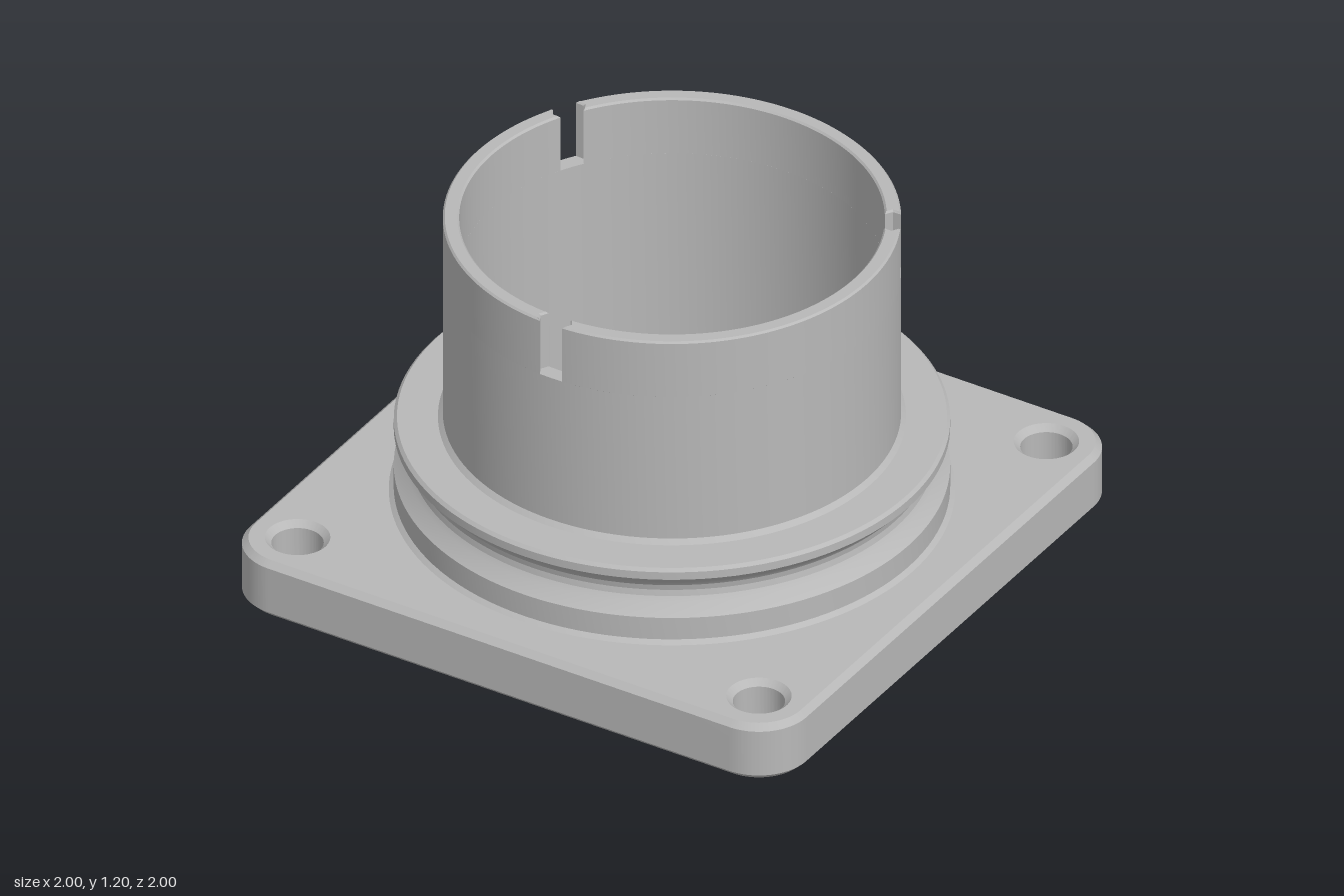
import * as THREE from 'three';
import { toCreasedNormals } from 'three/addons/utils/BufferGeometryUtils.js';

export function createModel() {
  const group = new THREE.Group();
  const metal = new THREE.MeshStandardMaterial({ color: 0xb8b8b8 });
  metal.name = 'greyMetal';

  const add = (name, geometry) => {
    const mesh = new THREE.Mesh(toCreasedNormals(geometry, 0.3), metal);
    mesh.name = name;
    group.add(mesh);
    return mesh;
  };

  // Extrudes a plan shape upwards from y0 to y1 with chamfers inside the outline
  const extrudeUp = (shape, y0, y1, chamfer, curveSegments) => {
    const geometry = new THREE.ExtrudeGeometry(shape, {
      depth: y1 - y0 - 2 * chamfer, curveSegments,
      bevelEnabled: true, bevelSegments: 1,
      bevelThickness: chamfer, bevelSize: chamfer, bevelOffset: -chamfer,
    });
    return geometry.rotateX(-Math.PI / 2).translate(0, y0 + chamfer, 0);
  };

  // Square flange with rounded corners, a central bore and four bolt holes
  const R = 0.17;
  const plate = new THREE.Shape();
  [[1, -1], [1, 1], [-1, 1], [-1, -1]].forEach(([sx, sy], i) => {
    const start = (i - 1) * Math.PI / 2;
    plate.absarc(sx * (1 - R), sy * (1 - R), R, start, start + Math.PI / 2, false);
  });
  plate.closePath();
  const hole = (x, y, r) => plate.holes.push(new THREE.Path().absarc(x, y, r, 0, Math.PI * 2, true));
  hole(0, 0, 0.68);
  for (const x of [-0.83, 0.83]) for (const y of [-0.83, 0.83]) hole(x, y, 0.08);
  add('flange', extrudeUp(plate, 0, 0.2, 0.02, 48));

  // Turned body: collar, V groove with rounded throat, rim and tube, then the stepped bore
  const profile = [
    [0.68, 0.17], [0.75, 0.17], [0.75, 0.2], [0.865, 0.2], [0.85, 0.212], [0.85, 0.29],
    [0.815, 0.323], [0.804, 0.34], [0.8, 0.36], [0.804, 0.38], [0.815, 0.397],
    [0.85, 0.43], [0.85, 0.457], [0.84, 0.467], [0.715, 0.467], [0.7, 0.482],
    [0.7, 1], [0.65, 1], [0.65, 0.24], [0.68, 0.2], [0.68, 0.17],
  ].map(([r, y]) => new THREE.Vector2(r, y));
  add('turnedBody', new THREE.LatheGeometry(profile, 120));

  // Upper tube wall in three arcs; the gaps between them are the key slots
  const half = 0.04, outer = 0.7, inner = 0.65, mid = 0.675;
  const third = Math.PI * 2 / 3;
  const aOut = Math.asin(half / outer), aIn = Math.asin(half / inner);
  const aMid = Math.asin(0.053 / mid);
  const arc = new THREE.Shape();
  arc.absarc(0, 0, outer, aOut, third - aOut, false);
  arc.lineTo(mid * Math.cos(third - aMid), mid * Math.sin(third - aMid));
  arc.absarc(0, 0, inner, third - aIn, aIn, true);
  arc.lineTo(mid * Math.cos(aMid), mid * Math.sin(aMid));
  arc.closePath();
  for (let i = 0; i < 3; i++) {
    const wall = add('slottedRim' + (i + 1), extrudeUp(arc, 0.994, 1.2, 0.006, 40));
    wall.rotation.y = -Math.PI / 2 + i * third;
  }
  return group;
}
